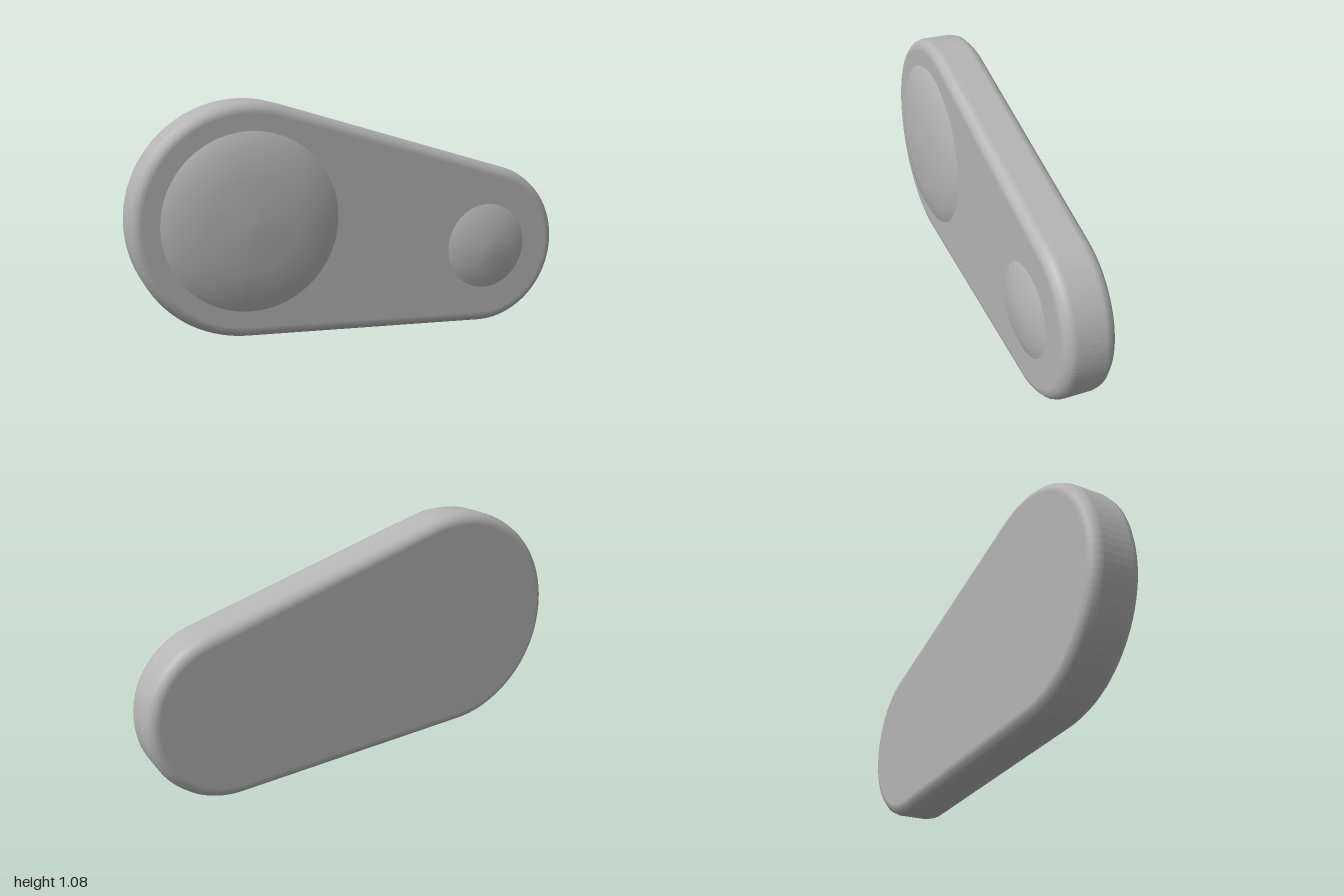
import * as THREE from 'three';

const BIG = { x: -0.495, y: 0.573, r: 0.505 };
const SMALL = { x: 0.627, y: 0.373, r: 0.372 };
const BACK = -0.14, FRONT = 0.08, BEVEL = 0.05;

// Outline: two circles joined by their outer tangents
function outline() {
  const dx = SMALL.x - BIG.x, dy = SMALL.y - BIG.y;
  const axis = Math.atan2(dy, dx);
  const spread = Math.acos((BIG.r - SMALL.r) / Math.hypot(dx, dy));
  const shape = new THREE.Shape();
  shape.absarc(BIG.x, BIG.y, BIG.r, axis + spread, axis - spread + 2 * Math.PI, false);
  shape.absarc(SMALL.x, SMALL.y, SMALL.r, axis - spread, axis + spread, false);
  shape.closePath();
  return shape;
}

// Round the rim shading across the bevel, keeping the facets along the outline
function roundRim(geo) {
  const p = geo.attributes.position, n = geo.attributes.normal;
  for (let i = 0; i < p.count; i++) {
    if (Math.abs(n.getZ(i)) > 0.999) continue;
    const z = p.getZ(i);
    const over = Math.max(0, z - (FRONT - BEVEL)) - Math.max(0, BACK + BEVEL - z);
    const s = THREE.MathUtils.clamp(over / BEVEL, -1, 1);
    const c = Math.sqrt(1 - s * s) / (Math.hypot(n.getX(i), n.getY(i)) || 1);
    n.setXYZ(i, n.getX(i) * c, n.getY(i) * c, s);
  }
}

// Shallow dome, profile given as [radius, z] from rim to centre
function dome(name, x, y, profile, material) {
  const geo = new THREE.LatheGeometry(profile.map(([r, z]) => new THREE.Vector2(r, z)), 48);
  geo.rotateX(Math.PI / 2);
  const mesh = new THREE.Mesh(geo, material);
  mesh.name = name;
  mesh.position.set(x, y, 0);
  return mesh;
}

export function createModel() {
  const model = new THREE.Group();
  model.name = 'taperedPlate';
  const grey = new THREE.MeshStandardMaterial({ color: 0xb4b4b4 });
  grey.name = 'grey';

  // Body with rounded rims front and back
  const geo = new THREE.ExtrudeGeometry(outline(), {
    depth: FRONT - BACK - 2 * BEVEL, curveSegments: 24,
    bevelSize: BEVEL, bevelThickness: BEVEL, bevelOffset: -BEVEL, bevelSegments: 3,
  });
  geo.translate(0, 0, BACK + BEVEL);
  roundRim(geo);
  const body = new THREE.Mesh(geo, grey);
  body.name = 'body';
  model.add(body);

  // Domes on the front face
  model.add(dome('largeDome', BIG.x, BIG.y,
    [[0.388, 0.078], [0.325, 0.109], [0.195, 0.134], [0, 0.14]], grey));
  model.add(dome('smallDome', SMALL.x, SMALL.y,
    [[0.203, 0.078], [0.118, 0.113], [0, 0.118]], grey));
  return model;
}
